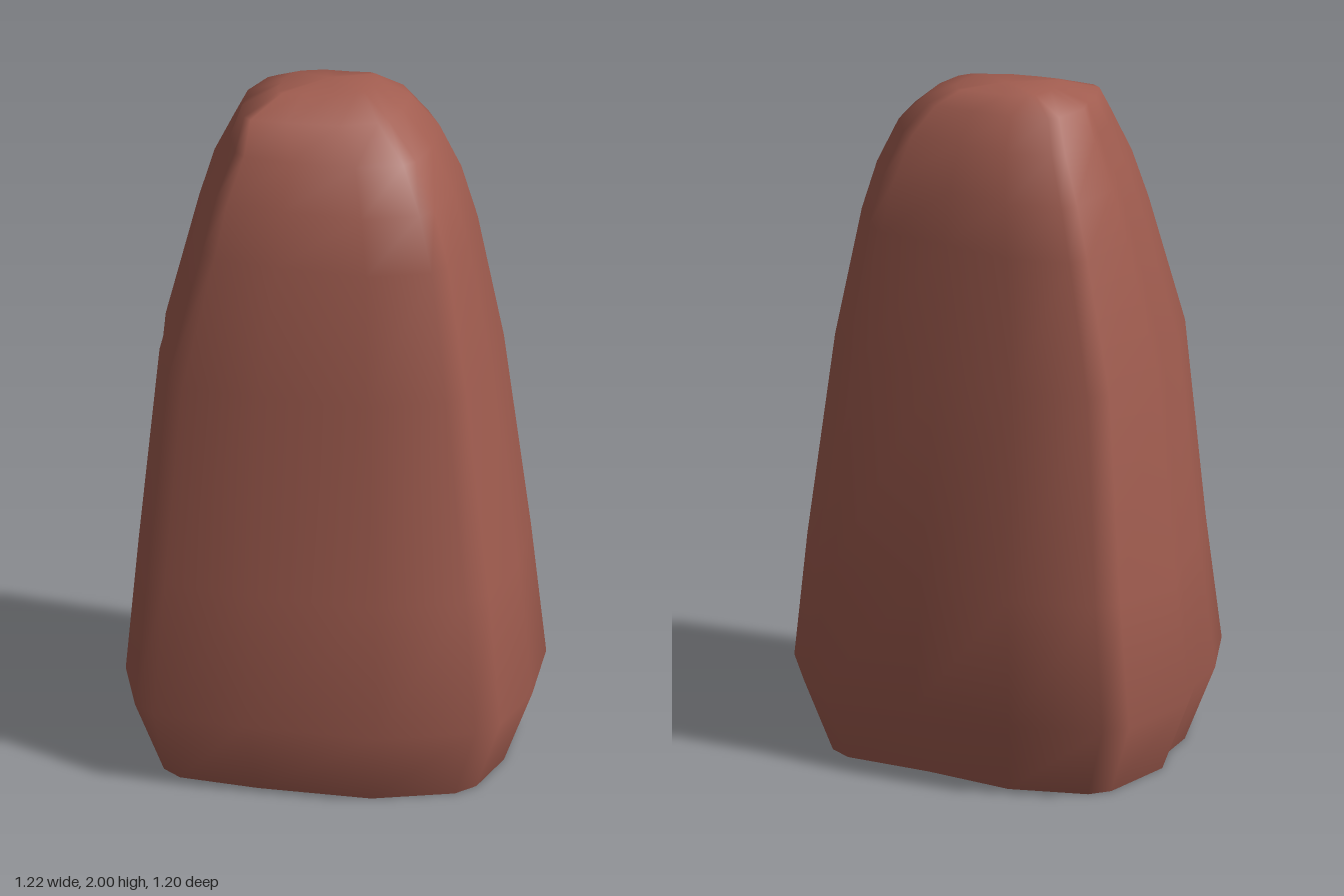
import * as THREE from 'three';

// Widest cross-section as [x, z], running left side -> front -> right side -> back
const outline = [
  [-0.61, 0.12], [-0.58, 0.2], [-0.36, 0.36], [-0.03, 0.555], [0.245, 0.603], [0.33, 0.57],
  [0.48, 0.4], [0.605, 0.14], [0.605, -0.07], [0.565, -0.15], [0.32, -0.32], [0.08, -0.52],
  [-0.175, -0.605], [-0.255, -0.585], [-0.45, -0.39], [-0.49, -0.24], [-0.56, -0.12],
];

// Extents of the stone at each height: y, xMin, xMax, zMin, zMax
const levels = [
  [0, -0.52, 0.52, -0.5, 0.52],
  [0.22, -0.61, 0.605, -0.597, 0.603],
  [0.6, -0.56, 0.573, -0.6, 0.54],
  [1.2, -0.5, 0.495, -0.515, 0.475],
  [1.58, -0.395, 0.42, -0.435, 0.41],
  [1.73, -0.345, 0.38, -0.39, 0.34],
  [1.86, -0.285, 0.32, -0.315, 0.27],
  [1.945, -0.245, 0.25, -0.24, 0.15],
  [1.988, -0.13, 0.17, -0.16, 0.03],
];

// Fit the outline into the extents of one level
function ring([y, x0, x1, z0, z1]) {
  return outline.map(([x, z]) => [
    THREE.MathUtils.mapLinear(x, -0.61, 0.605, x0, x1),
    y,
    THREE.MathUtils.mapLinear(z, -0.605, 0.603, z0, z1),
  ]);
}

function buildGeometry(points, index) {
  const geometry = new THREE.BufferGeometry();
  geometry.setAttribute('position', new THREE.Float32BufferAttribute(points.flat(), 3));
  geometry.setIndex(index);
  geometry.computeVertexNormals();
  return geometry;
}

export function createModel() {
  const group = new THREE.Group();
  group.name = 'standingStone';
  const stone = new THREE.MeshStandardMaterial({ color: 0xa05c4f });
  stone.name = 'red stone';
  const n = outline.length;

  // Smooth body: skin the rings and close the crown with one apex
  const points = levels.flatMap(ring);
  const apex = points.length;
  points.push([0.03, 2, -0.07]);
  const index = [];
  levels.forEach((_, i) => {
    for (let j = 0; j < n; j++) {
      const a = i * n + j;
      const b = i * n + (j + 1) % n;
      if (i < levels.length - 1) index.push(a, b, b + n, a, b + n, a + n);
      else index.push(a, b, apex);
    }
  });
  const body = new THREE.Mesh(buildGeometry(points, index), stone);
  body.name = 'stoneBody';

  // Flat underside with its own vertices, so the rim stays sharp
  const basePoints = [...ring(levels[0]), [0, 0, 0]];
  const baseIndex = [];
  for (let j = 0; j < n; j++) baseIndex.push(n, (j + 1) % n, j);
  const base = new THREE.Mesh(buildGeometry(basePoints, baseIndex), stone);
  base.name = 'stoneUnderside';

  group.add(body, base);
  return group;
}
